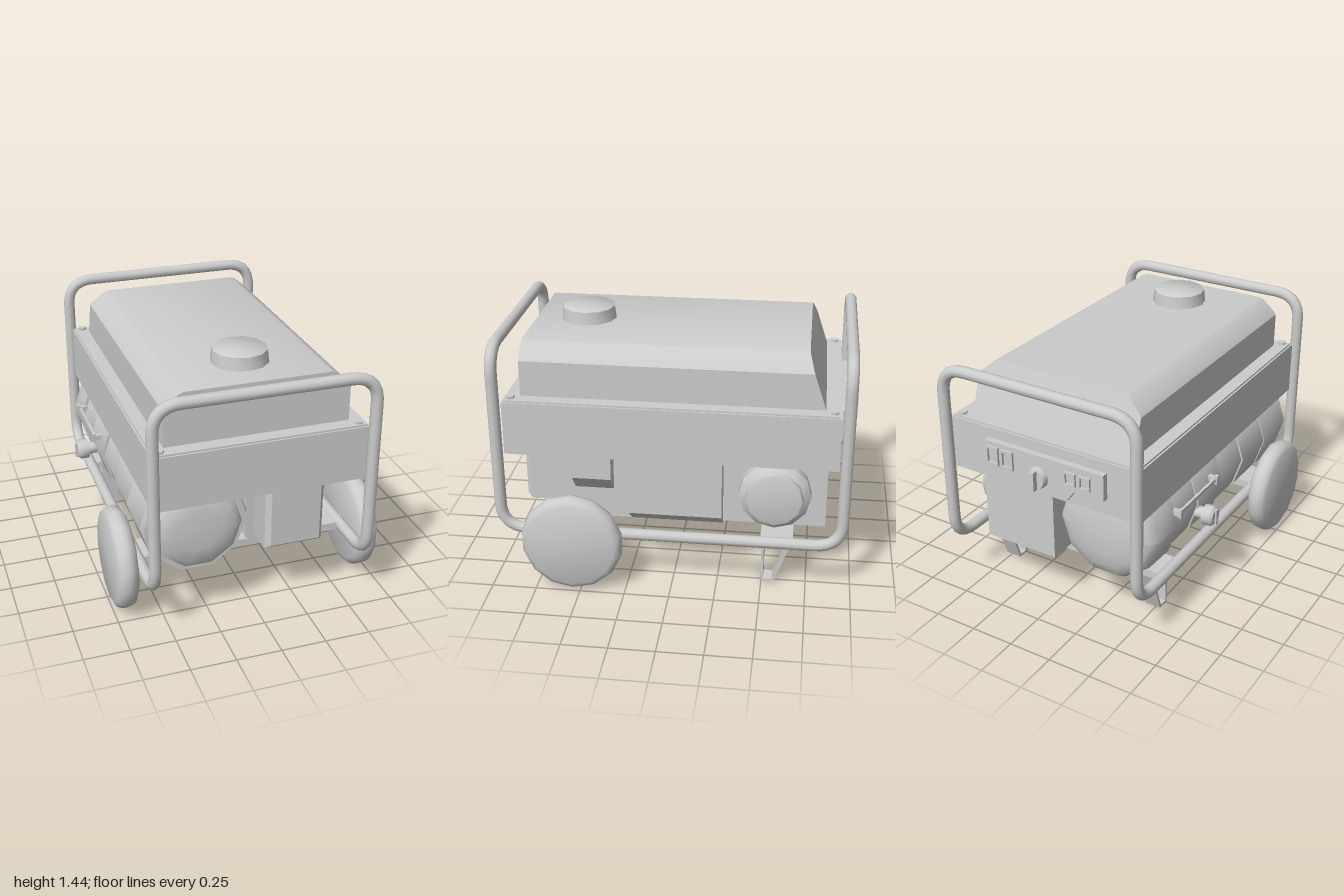
import * as THREE from 'three';
import { toCreasedNormals } from 'three/addons/utils/BufferGeometryUtils.js';

const grey = new THREE.MeshStandardMaterial({ name: 'plain grey', color: 0xcccccc, side: THREE.DoubleSide });

export function createModel() {
  const model = new THREE.Group();
  model.name = 'portableGenerator';

  const add = (name, geometry) => {
    const mesh = new THREE.Mesh(geometry, grey);
    mesh.name = name;
    model.add(mesh);
    return mesh;
  };
  // Box given by its limits on each axis
  const box = (name, x0, x1, y0, y1, z0, z1) =>
    add(name, new THREE.BoxGeometry(x1 - x0, y1 - y0, z1 - z0)
      .translate((x0 + x1) / 2, (y0 + y1) / 2, (z0 + z1) / 2));
  const shapeOf = (pts) => new THREE.Shape(pts.map(([x, y]) => new THREE.Vector2(x, y)));
  // Outline in x and y, extruded between two z positions
  const prism = (pts, z0, z1) => new THREE.ExtrudeGeometry(shapeOf(pts), { depth: z1 - z0, bevelEnabled: false })
    .translate(0, 0, z0);
  // Turned part: [radius, height] pairs from low to high
  const turned = (pts, sides, crease = 0.68) => toCreasedNormals(
    new THREE.LatheGeometry(pts.map(([r, h]) => new THREE.Vector2(r, h)), sides, Math.PI / 2), crease);

  // Tubular frame: one closed loop with rounded corners
  const fx = 0.596, lo = 0.298, hi = 1.365, fz = 0.965, bz = -0.937, bend = 0.15;
  const corners = [
    [-fx, lo, fz], [-fx, hi, fz], [fx, hi, fz], [fx, lo, fz],
    [fx, lo, bz], [fx, hi, bz], [-fx, hi, bz], [-fx, lo, bz],
  ].map((p) => new THREE.Vector3(...p));
  const path = new THREE.CurvePath();
  const toward = (a, b) => a.clone().add(b.clone().sub(a).setLength(bend));
  corners.forEach((c, i) => {
    const prev = corners[(i + 7) % 8], next = corners[(i + 1) % 8];
    path.add(new THREE.QuadraticBezierCurve3(toward(c, prev), c.clone().lerp(c, 1), toward(c, next)));
    path.add(new THREE.LineCurve3(toward(c, next), toward(next, c)));
  });
  add('tubeFrame', new THREE.TubeGeometry(path, 280, 0.033, 10, true));

  // Skirt that carries the tank, with lip and corner bolts
  box('skirt', -0.59, 0.59, 0.755, 1.06, -0.9, 0.925);
  box('skirtLip', -0.58, 0.58, 1.06, 1.07, -0.89, 0.915);
  for (const x of [-0.54, 0.54]) for (const z of [-0.86, 0.885])
    add('bolt', turned([[0.025, 0], [0.025, 0.016], [0, 0.016]], 6, 0.3)).position.set(x, 1.068, z);

  // Fuel tank: chamfered section with a sloping back
  const tank = prism([[-0.505, 1.065], [0.505, 1.065], [0.505, 1.27], [0.49, 1.29], [0.42, 1.35],
    [0.395, 1.36], [-0.395, 1.36], [-0.42, 1.35], [-0.49, 1.29], [-0.505, 1.27]], -0.815, 0.838);
  const tp = tank.attributes.position;
  for (let i = 0; i < tp.count; i++)
    if (tp.getZ(i) < 0) tp.setZ(i, -0.815 + (tp.getY(i) - 1.065) * 0.34);
  add('fuelTank', toCreasedNormals(tank, 0.6));
  add('fuelCap', turned([[0.157, 0], [0.148, 0.07], [0.14, 0.076], [0, 0.076]], 12)).position.set(0, 1.36, 0.545);

  // Wheels and axle
  const tyre = [[0, 0], [0.245, 0], [0.272, 0.015], [0.285, 0.045], [0.285, 0.07], [0.272, 0.1], [0.245, 0.114], [0, 0.118]];
  for (const side of [1, -1]) {
    const wheel = add(side > 0 ? 'leftWheel' : 'rightWheel', turned(tyre, 14, 0.8));
    wheel.rotation.z = -side * Math.PI / 2;
    wheel.position.set(side * 0.635, 0.285, 0.545);
  }
  add('axle', new THREE.CylinderGeometry(0.02, 0.02, 1.3, 10).rotateZ(Math.PI / 2).translate(0, 0.29, 0.545));

  // Cross bars under the machine
  box('frontCrossBar', -0.595, 0.595, 0.27, 0.315, 0.45, 0.64);
  box('backCrossBar', -0.595, 0.595, 0.27, 0.315, -0.67, -0.49);

  // Rear legs bent from flat strip, open at the sides
  const legShape = shapeOf([[0.498, 0.27], [0.498, 0], [0.57, 0], [0.668, 0.27]]);
  legShape.holes.push(new THREE.Path([[0.511, 0.27], [0.652, 0.27], [0.561, 0.014], [0.511, 0.014]]
    .map(([x, y]) => new THREE.Vector2(x, y))));
  for (const x of [0.435, -0.53])
    add('leg', new THREE.ExtrudeGeometry(legShape, { depth: 0.095, bevelEnabled: false })
      .rotateY(Math.PI / 2)).position.set(x, 0.005, 0);

  // Alternator drum: ten-sided, stepped rings, domed ends
  const drum = add('drum', turned([
    [0, -0.86], [0.12, -0.855], [0.21, -0.84], [0.275, -0.81], [0.3, -0.77], [0.305, -0.57],
    [0.288, -0.57], [0.288, -0.33], [0.296, -0.33], [0.296, -0.05], [0.28, -0.05], [0.28, 0.23],
    [0.29, 0.23], [0.29, 0.51], [0.295, 0.51], [0.295, 0.78], [0.28, 0.79], [0.28, 0.83],
    [0.24, 0.83], [0.24, 0.86], [0.2, 0.89], [0.12, 0.9], [0, 0.905]], 10));
  drum.rotation.x = Math.PI / 2;
  drum.position.set(-0.33, 0.588, 0);

  // Handle and turning knob on the side of the drum
  box('handleBar', -0.645, -0.63, 0.655, 0.675, -0.58, -0.15);
  for (const z of [-0.57, -0.16]) {
    box('handlePost', -0.645, -0.57, 0.65, 0.68, z - 0.015, z + 0.015);
    box('handlePlate', -0.655, -0.635, 0.64, 0.69, z - 0.012, z + 0.012);
  }
  const knob = add('sideKnob', turned([[0.035, 0], [0.035, 0.05], [0.058, 0.05], [0.058, 0.1], [0.045, 0.115], [0, 0.115]], 10));
  knob.rotation.z = Math.PI / 2;
  knob.position.set(-0.605, 0.525, -0.305);
  box('sideKnobGrip', -0.73, -0.715, 0.48, 0.57, -0.315, -0.295);

  // Engine: housing, block, rear block
  const top = 0.76;
  add('frontHousing', prism([[0, 0.355], [0.045, 0.31], [0.43, 0.31], [0.43, top], [0, top]], 0.25, 0.68));
  add('engineBlock', prism([[0, 0.355], [0.045, 0.31], [0.43, 0.31], [0.54, 0.4], [0.54, top], [0, top]], -0.27, 0.25));
  box('rearBlock', -0.02, 0.43, 0.325, top, -0.845, -0.27);
  add('carburettor', prism([[0.42, 0.49], [0.43, 0.49], [0.52, 0.59], [0.52, top], [0.42, top]], 0.35, 0.57));

  // Front cover with bevelled rim
  const cover = new THREE.ExtrudeGeometry(shapeOf([[0.075, 0.395], [0.355, 0.395], [0.355, 0.73], [0.075, 0.73]]),
    { depth: 0.16, bevelThickness: 0.03, bevelSize: 0.025, bevelSegments: 1 });
  add('frontCover', cover.translate(0, 0, 0.68));

  // Round air filter
  const filter = add('airFilter', turned([[0.17, 0], [0.2, 0.03], [0.2, 0.09], [0.16, 0.12],
    [0.155, 0.145], [0.14, 0.15], [0, 0.15]], 12, 0.6));
  filter.rotation.z = -Math.PI / 2;
  filter.position.set(0.42, 0.545, -0.56);

  // Control panel at the back with sockets and selector knob
  add('controlPanel', prism([[-0.4, 0.85], [-0.22, 0.85], [-0.17, 0.78], [0.09, 0.78], [0.14, 0.83],
    [0.34, 0.83], [0.34, 1.0], [-0.4, 1.0]], -0.935, -0.9));
  const socket = (x, y, w, h) => {
    const frame = shapeOf([[-w, -h], [w, -h], [w, h], [-w, h]]);
    const k = 0.72;
    frame.holes.push(new THREE.Path([[-w, -h], [-w, h], [w, h], [w, -h]]
      .map(([a, b]) => new THREE.Vector2(a * k, b * k))));
    add('socketFrame', new THREE.ExtrudeGeometry(frame, { depth: 0.014, bevelEnabled: false }))
      .position.set(x, y, -0.948);
  };
  socket(0.29, 0.92, 0.038, 0.055);
  socket(0.195, 0.92, 0.038, 0.055);
  socket(-0.2, 0.925, 0.034, 0.038);
  socket(-0.29, 0.925, 0.034, 0.038);
  const dial = add('selectorDial', turned([[0.062, 0], [0.055, 0.035], [0, 0.035]], 12));
  dial.rotation.x = -Math.PI / 2;
  dial.position.set(0, 0.875, -0.935);
  box('selectorGrip', -0.014, 0.014, 0.82, 0.93, -1.0, -0.965);

  return model;
}
